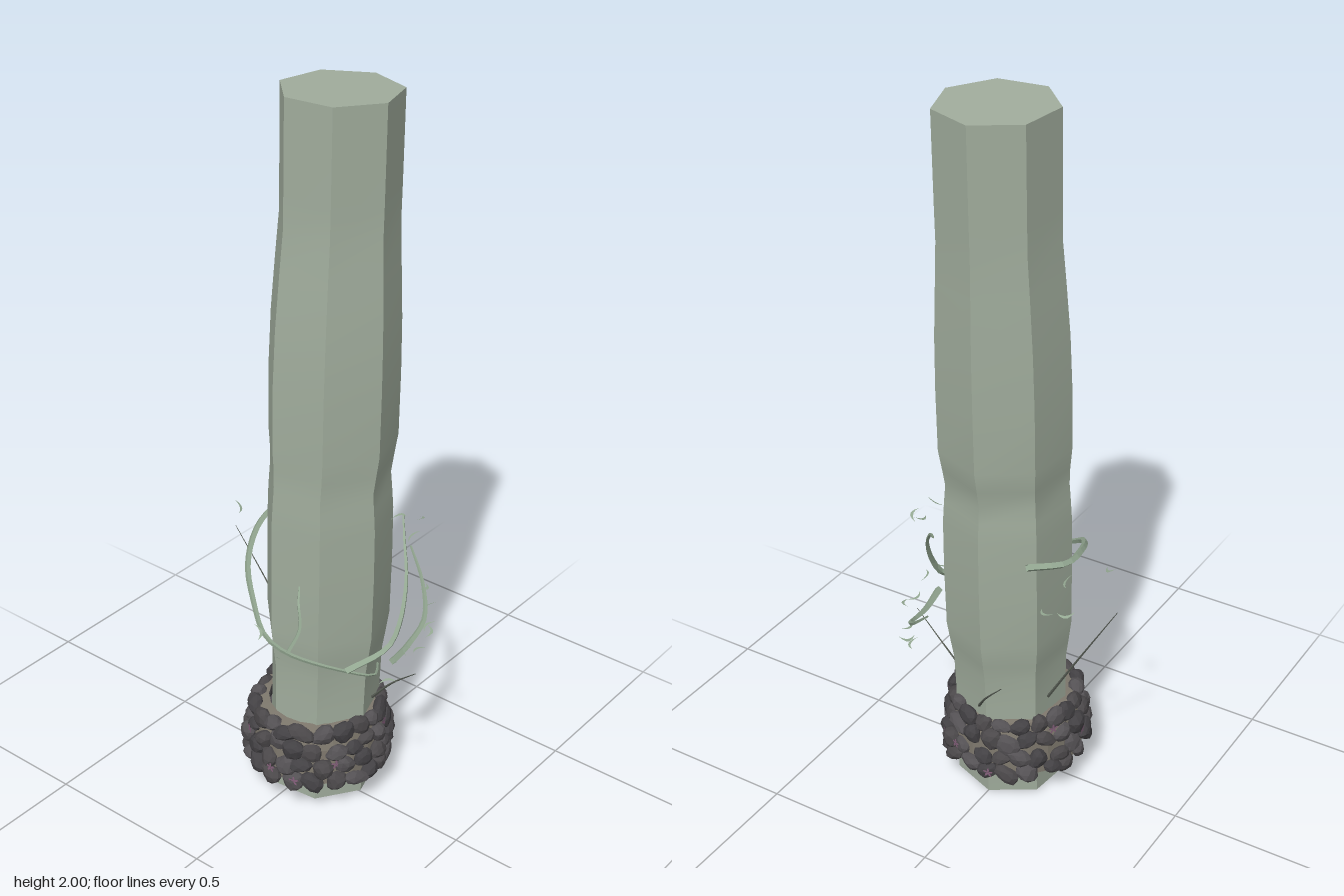
import * as THREE from 'three';

const mat = (color, extra = {}) => new THREE.MeshStandardMaterial({ color, ...extra });
const V = (p) => new THREE.Vector3(...p);

// Small seeded generator, returns values in [-1, 1]
let seed = 7;
const rnd = () => {
  seed = (seed * 16807) % 2147483647;
  return (seed / 2147483647) * 2 - 1;
};

// Seven-sided trunk: sharp vertical corners, smooth bulges along its height
function trunkGeometry() {
  const rings = [ // height, radius, centre z
    [0.005, 0.157, -0.02], [0.3, 0.156, -0.03], [0.4, 0.158, -0.034], [0.45, 0.165, -0.036], [0.52, 0.174, -0.039],
    [0.7, 0.175, -0.044], [0.85, 0.174, -0.046], [0.91, 0.17, -0.046], [0.96, 0.166, -0.046], [1.01, 0.17, -0.052],
    [1.07, 0.177, -0.057], [1.25, 0.177, -0.062], [1.4, 0.173, -0.068], [1.55, 0.164, -0.075],
    [1.66, 0.157, -0.081], [1.75, 0.157, -0.084], [1.995, 0.157, -0.09],
  ];
  const corner = (k, [y, r, cz]) => {
    const a = THREE.MathUtils.degToRad(-95.5) + (k * Math.PI * 2) / 7;
    return [0.015 + r * Math.cos(a), y + 0.03 * r * Math.sin(a), cz + r * Math.sin(a)];
  };
  const pos = [], idx = [];
  for (let k = 0; k < 7; k++) {
    const start = pos.length / 3;
    rings.forEach((ring, i) => {
      pos.push(...corner(k, ring), ...corner(k + 1, ring));
      if (i === 0) return;
      const b = start + i * 2;
      idx.push(b - 2, b, b - 1, b - 1, b, b + 1);
    });
  }
  // End caps
  for (const [ring, top] of [[rings[0], false], [rings[rings.length - 1], true]]) {
    const start = pos.length / 3;
    for (let k = 0; k < 7; k++) pos.push(...corner(k, ring));
    for (let k = 1; k < 6; k++) idx.push(start, start + (top ? k + 1 : k), start + (top ? k : k + 1));
  }
  const g = new THREE.BufferGeometry();
  g.setAttribute('position', new THREE.Float32BufferAttribute(pos, 3));
  g.setIndex(idx);
  g.computeVertexNormals();
  return g;
}

// Irregular rounded pebble
function stoneGeometry(phase) {
  const g = new THREE.IcosahedronGeometry(1, 1);
  const p = g.attributes.position, v = new THREE.Vector3();
  for (let i = 0; i < p.count; i++) {
    v.fromBufferAttribute(p, i);
    v.multiplyScalar(1 + 0.12 * Math.sin(3 * v.x + phase) + 0.1 * Math.sin(4 * v.y + 2 * phase + v.z));
    p.setXYZ(i, v.x, v.y, v.z);
  }
  g.computeVertexNormals();
  return g;
}

// Tapered strand along a path
function strandGeometry(points, r0, r1) {
  const curve = new THREE.CatmullRomCurve3(points.map(V));
  const n = points.length * 3, sides = 4;
  const g = new THREE.TubeGeometry(curve, n, 1, sides);
  const p = g.attributes.position, v = new THREE.Vector3();
  for (let i = 0; i <= n; i++) {
    const c = curve.getPointAt(i / n), r = THREE.MathUtils.lerp(r0, r1, i / n);
    for (let j = 0; j <= sides; j++) {
      const q = i * (sides + 1) + j;
      v.fromBufferAttribute(p, q).sub(c).multiplyScalar(r).add(c);
      p.setXYZ(q, v.x, v.y, v.z);
    }
  }
  return g;
}

// Thin curled leaf, a flat crescent
function leafGeometry() {
  const s = new THREE.Shape();
  s.moveTo(0, -0.025);
  s.quadraticCurveTo(0.038, 0, 0, 0.025);
  s.quadraticCurveTo(0.022, 0, 0, -0.025);
  return new THREE.ShapeGeometry(s, 5).rotateX(-Math.PI / 2);
}

export function createModel() {
  const group = new THREE.Group();
  const add = (name, geometry, material, parent = group) => {
    const m = new THREE.Mesh(geometry, material);
    m.name = name;
    parent.add(m);
    return m;
  };
  const part = (name) => {
    const g = new THREE.Group();
    g.name = name;
    group.add(g);
    return g;
  };

  const green = mat(0xa0ac9c);
  const vineMat = mat(0x94a892, { flatShading: true, side: THREE.DoubleSide });
  const twigMat = mat(0x555a52, { flatShading: true });
  add('trunk', trunkGeometry(), green);

  // Earth band behind the stones
  const band = add('earthBand', new THREE.LatheGeometry([
    [0.14, 0.085], [0.19, 0.09], [0.185, 0.2], [0.17, 0.255], [0.14, 0.26],
  ].map(([r, y]) => new THREE.Vector2(r, y)), 21), mat(0x7d776c, { flatShading: true, side: THREE.DoubleSide }));
  band.position.set(0.01, 0, -0.012);

  // Rows of stones wrapped around the base
  const collar = part('stoneCollar');
  collar.position.set(0.01, 0, -0.01);
  const shapes = [0, 1.3, 2.6, 4.1, 5.2].map(stoneGeometry);
  const greys = [0x4b484a, 0x545154, 0x434144].map((c) => mat(c, { flatShading: true }));
  const rows = [[0.102, 0.194], [0.15, 0.193], [0.2, 0.186], [0.247, 0.173]];
  rows.forEach(([y, r], row) => {
    const count = 21;
    for (let i = 0; i < count; i++) {
      const a = ((i + row * 0.5 + rnd() * 0.2) / count) * Math.PI * 2;
      const s = add('stone', shapes[(i * 2 + row) % 5], greys[(i + row) % 3], collar);
      const d = r + rnd() * 0.006;
      s.position.set(Math.sin(a) * d, y + rnd() * 0.009, Math.cos(a) * d);
      s.rotation.set(-0.15, a, rnd() * 0.7, 'YXZ');
      s.scale.set(0.032 + rnd() * 0.006, 0.025 + rnd() * 0.005, 0.021 + rnd() * 0.003);
    }
  });

  // Small blossoms tucked between the stones
  const blossoms = part('blossoms');
  const petalMat = mat(0x86607c, { side: THREE.DoubleSide });
  const petal = new THREE.CircleGeometry(0.008, 5).scale(0.45, 1, 1).translate(0, 0.008, 0);
  for (let i = 0; i < 11; i++) {
    const a = i * 2.4, flower = new THREE.Group();
    flower.name = 'blossom';
    const y = 0.18 + rnd() * 0.08, r = 0.217 - (y - 0.1) * 0.15;
    flower.position.set(0.01 + Math.sin(a) * r, y, -0.01 + Math.cos(a) * r);
    flower.rotation.y = a;
    for (let k = 0; k < 5; k++) {
      const m = add('petal', petal, petalMat, flower);
      m.rotation.z = (k * Math.PI * 2) / 5;
    }
    blossoms.add(flower);
  }

  // Vines winding around the trunk
  const vines = part('vines');
  [
    // across the front and round the left side
    [[-0.12, 0.79, -0.17], [-0.185, 0.775, -0.08], [-0.175, 0.76, 0.02], [-0.12, 0.71, 0.13], [-0.05, 0.65, 0.19],
      [0.03, 0.6, 0.238], [0.09, 0.56, 0.22], [0.2, 0.49, 0.11], [0.235, 0.45, 0.03], [0.2, 0.44, -0.03]],
    // rising loop on the left side
    [[0.2, 0.49, 0.11], [0.262, 0.54, 0.01], [0.27, 0.6, -0.03], [0.245, 0.7, -0.09], [0.2, 0.77, -0.14], [0.15, 0.81, -0.2]],
    // low branch running to the back
    [[0.268, 0.49, -0.005], [0.25, 0.485, -0.1], [0.23, 0.51, -0.2], [0.17, 0.57, -0.27], [0.1, 0.64, -0.308]],
    // short front shoot
    [[0.09, 0.56, 0.22], [0.1, 0.62, 0.18], [0.08, 0.68, 0.16], [0.05, 0.7, 0.12]],
  ].forEach((pts, i) => add('vine', strandGeometry(pts, i === 3 ? 0.006 : 0.011, 0.003), vineMat, vines));

  // Bare twigs growing from the collar
  const twigs = part('twigs');
  [
    [[-0.14, 0.33, -0.09], [-0.22, 0.47, -0.085], [-0.33, 0.66, -0.06]],
    [[0.16, 0.29, -0.06], [0.22, 0.36, -0.065], [0.31, 0.44, -0.055]],
    [[0.02, 0.3, -0.19], [-0.02, 0.36, -0.22], [-0.09, 0.44, -0.25]],
  ].forEach((pts) => add('twig', strandGeometry(pts, 0.004, 0.001), twigMat, twigs));

  // Curled leaves beside the vines: x, y, z, turn
  const leaves = part('leaves');
  const leaf = leafGeometry();
  [
    [0.15, 0.53, -0.3, 0.3], [0.205, 0.51, -0.26, 2.6], [0.25, 0.49, -0.2, 3.1], [0.28, 0.52, -0.14, 0.5],
    [0.305, 0.5, -0.08, 2.9], [0.31, 0.53, -0.02, 3.4], [0.03, 0.63, 0.275, 0.9], [0.1, 0.56, 0.25, 4.2],
    [-0.2, 0.7, -0.2, 1.2], [-0.22, 0.67, -0.14, 2], [-0.2, 0.73, -0.09, 0.2], [-0.285, 0.76, -0.015, 1],
    [0.22, 0.84, -0.17, 0.4], [0.24, 0.81, -0.13, 3], [0.2, 0.86, -0.11, 1.8], [0.325, 0.5, 0.095, 2.2],
  ].forEach(([x, y, z, turn]) => {
    const m = add('leaf', leaf, vineMat, leaves);
    m.position.set(x, y, z);
    m.rotation.set(rnd() * 0.6, turn, rnd() * 0.6, 'YXZ');
  });
  return group;
}
